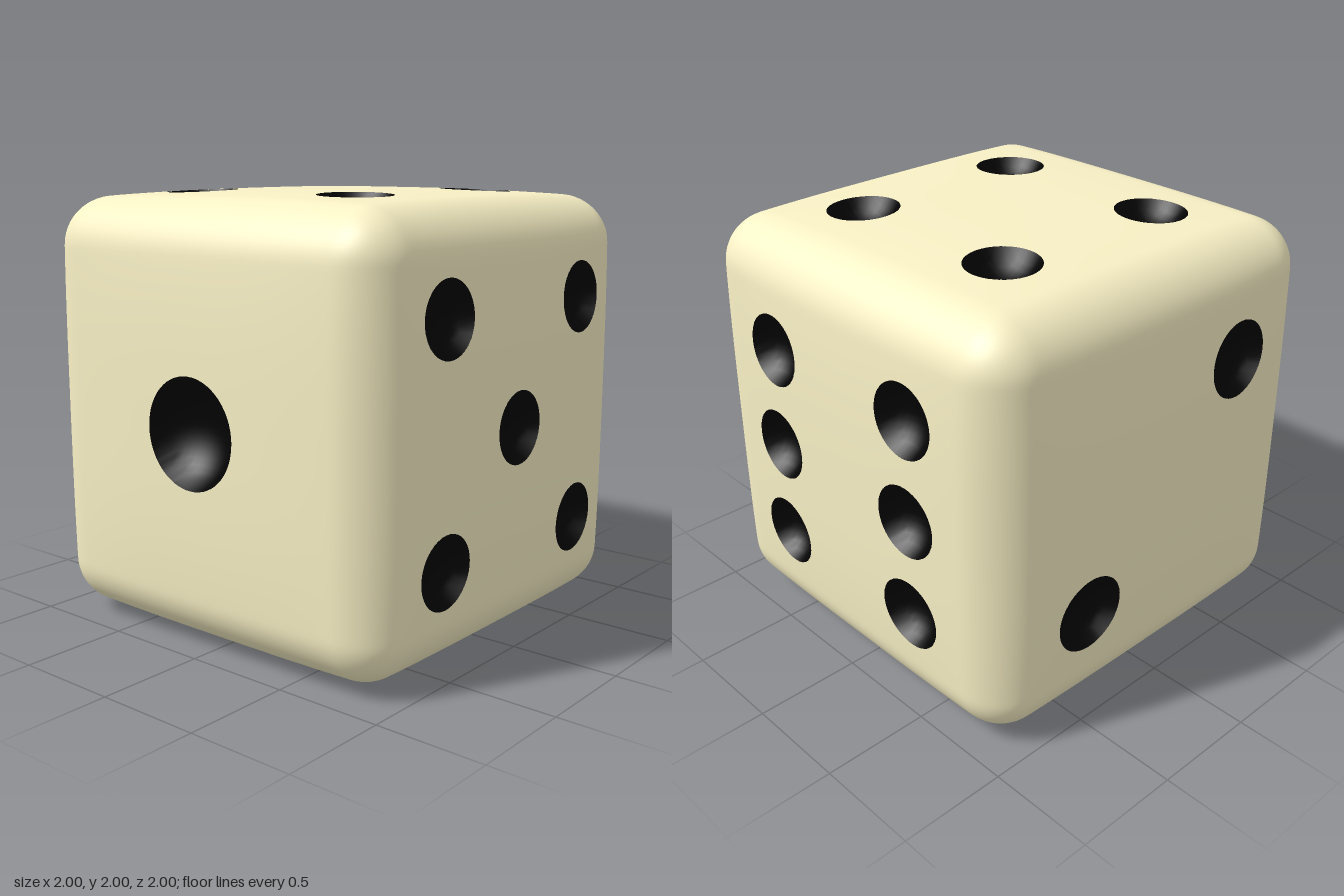
import * as THREE from 'three';
import { mergeGeometries, mergeVertices } from 'three/addons/utils/BufferGeometryUtils.js';

const EDGE = 0.22;    // rounding radius of the edges
const BULGE = 0.044;  // how far the faces swell towards their middle
const GRID = 72;      // cells along each face
const DENT = 0.65;    // pip depth as a share of its radius

// Factor by which a face sinks away from its middle
const fade = (t) => 1 - Math.abs(t) ** 3;
const swell = (u, v) => 1 - BULGE * (1 - fade(u) * fade(v));

// Depth of a spherical hollow at distance d from its middle
function hollow(d, radius) {
  const h = radius * DENT;
  const R = (radius * radius + h * h) / (2 * h);
  return Math.sqrt(R * R - d * d) - (R - h);
}

// One face looking along +z, split into its ivory part and its hollow pips
function faceGeometries({ turn, radius, pips }) {
  const geo = new THREE.PlaneGeometry(2, 2, GRID, GRID);
  geo.deleteAttribute('uv');
  geo.deleteAttribute('normal');
  const pos = geo.attributes.position;
  const core = new THREE.Vector3(1 - EDGE, 1 - EDGE, 1 - EDGE);
  const low = core.clone().negate();
  const p = new THREE.Vector3();
  const inner = new THREE.Vector3();
  const shrink = 1 - BULGE;
  const r = radius / shrink;
  const snap = 0.71 * 2 / GRID;
  const inPip = [];

  for (let i = 0; i < pos.count; i++) {
    p.set(pos.getX(i), pos.getY(i), 1);
    let depth = 0;
    for (const [u, v] of pips) {
      const dx = p.x - u / shrink, dy = p.y - v / shrink;
      let d = Math.hypot(dx, dy);
      if (d > r + snap) continue;
      // Grid points near the rim slide onto it for a clean round edge
      if (d > r - snap) {
        p.x += dx * (r / d - 1);
        p.y += dy * (r / d - 1);
        d = r;
      }
      depth = hollow(d * shrink, radius);
      inPip[i] = true;
    }
    // Round the edges, swell the face and press in the pips
    inner.copy(p).clamp(low, core);
    p.sub(inner).setLength(EDGE).add(inner);
    const { x, y, z } = p;
    pos.setXYZ(i, x * swell(y, z), y * swell(x, z), z * swell(x, y) - depth);
  }

  const parts = { ivory: [], pips: [] };
  const index = geo.index.array;
  for (let i = 0; i < index.length; i += 3) {
    const tri = [index[i], index[i + 1], index[i + 2]];
    parts[tri.every((k) => inPip[k]) ? 'pips' : 'ivory'].push(...tri);
  }
  geo.rotateY(turn[1]).rotateX(turn[0]);
  const part = (list) => mergeVertices(geo.clone().setIndex(list));
  return { ivory: part(parts.ivory), hollows: part(parts.pips) };
}

// Pip layout of each face, in the face's own right/up directions
const corners = (d) => [[-d, -d], [d, -d], [-d, d], [d, d]];
const FACES = [
  { name: 'front', turn: [0, 0], radius: 0.247, pips: [[0, 0]] },
  { name: 'left', turn: [0, Math.PI / 2], radius: 0.164, pips: [...corners(0.52), [0, 0]] },
  { name: 'right', turn: [0, -Math.PI / 2], radius: 0.18, pips: [[0.45, 0.45], [-0.45, -0.45]] },
  { name: 'back', turn: [0, Math.PI], radius: 0.167,
    pips: [-0.44, 0.44].flatMap((u) => [-0.47, 0, 0.47].map((v) => [u, v])) },
  { name: 'top', turn: [-Math.PI / 2, 0], radius: 0.164, pips: corners(0.45) },
  { name: 'bottom', turn: [Math.PI / 2, 0], radius: 0.22, pips: [[-0.4, -0.4], [0, 0], [0.4, 0.4]] },
];

export function createModel() {
  const model = new THREE.Group();
  model.name = 'die';
  const ivory = new THREE.MeshStandardMaterial({ color: 0xf8f0c5 });
  const black = new THREE.MeshStandardMaterial({ color: 0x030303 });
  const add = (name, geometry, material) => {
    geometry.computeVertexNormals();
    const mesh = new THREE.Mesh(geometry, material);
    mesh.name = name;
    mesh.position.y = 1;
    model.add(mesh);
  };

  // Hollow pips of each face, then the six faces joined into one smooth body
  const shells = FACES.map((face) => {
    const { ivory: shell, hollows } = faceGeometries(face);
    add(face.name + 'Pips', hollows, black);
    return shell;
  });
  add('body', mergeVertices(mergeGeometries(shells)), ivory);
  return model;
}
